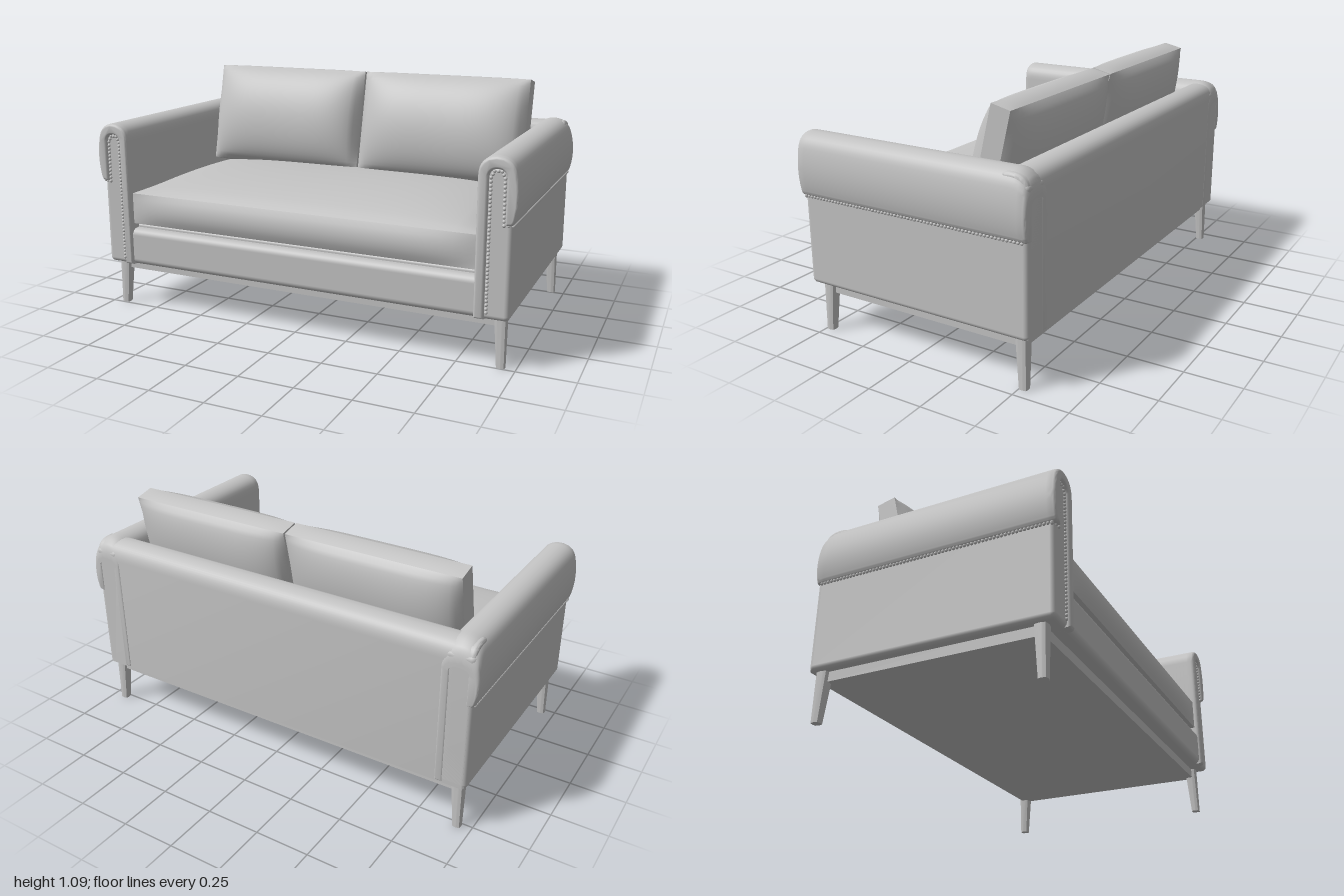
import * as THREE from 'three';
import { mergeGeometries, toCreasedNormals } from 'three/addons/utils/BufferGeometryUtils.js';
import { RoundedBoxGeometry } from 'three/addons/geometries/RoundedBoxGeometry.js';

const fabric = new THREE.MeshStandardMaterial({ color: 0xc4c4c4 });
fabric.name = 'light grey';

function add(parent, name, geometry, x = 0, y = 0, z = 0) {
  const mesh = new THREE.Mesh(geometry, fabric);
  mesh.name = name;
  mesh.position.set(x, y, z);
  parent.add(mesh);
  return mesh;
}

// Rounded block given by its limits on each axis
function block(parent, name, [x0, x1], [y0, y1], [z0, z1], r) {
  const g = new RoundedBoxGeometry(x1 - x0, y1 - y0, z1 - z0, 4, r);
  return add(parent, name, g, (x0 + x1) / 2, (y0 + y1) / 2, (z0 + z1) / 2);
}

function moveVertices(g, rule) {
  const p = g.attributes.position, v = new THREE.Vector3();
  for (let i = 0; i < p.count; i++) {
    rule(v.fromBufferAttribute(p, i));
    p.setXYZ(i, v.x, v.y, v.z);
  }
  return g;
}

// Boxed cushion lying in the xy plane, with puffed faces and a sharp seam
function cushionGeometry(w, h, t, puffFront, puffBack, edgePuff) {
  const g = new THREE.BoxGeometry(w, h, t, 36, 28, 6);
  moveVertices(g, (v) => {
    const a = Math.min(1, Math.abs(2 * v.x / w)), b = Math.min(1, Math.abs(2 * v.y / h));
    const c = 2 * v.z / t;
    const puff = Math.pow((1 - a ** 4) * (1 - b * b), 0.6);
    v.y += Math.sign(v.y) * edgePuff * b ** 6 * (1 - c * c) * (1 - a ** 8);
    v.z += c > 0 ? c * puffFront * puff : c * puffBack * puff;
  });
  g.computeVertexNormals();
  return g;
}

// Padded arm cover: hooks over the arm, short flap outside, long inside
function armCoverGeometry(s) {
  const shape = new THREE.Shape();
  const q = (cx, cy, x, y) => shape.quadraticCurveTo(s * cx, cy, s * x, y);
  const l = (x, y) => shape.lineTo(s * x, y);
  shape.moveTo(s * 0.83, 0.222);
  l(0.83, 0.81);
  q(0.83, 0.885, 0.905, 0.892);
  q(0.972, 0.892, 0.987, 0.83);
  q(1.008, 0.74, 0.989, 0.65);
  q(0.984, 0.62, 0.966, 0.62);
  l(0.945, 0.62);
  l(0.945, 0.8);
  q(0.945, 0.84, 0.91, 0.84);
  q(0.875, 0.84, 0.875, 0.8);
  l(0.875, 0.222);
  shape.closePath();
  const g = new THREE.ExtrudeGeometry(shape, {
    depth: 1.08, steps: 54, curveSegments: 8,
    bevelSize: 0.012, bevelOffset: -0.012, bevelThickness: 0.02, bevelSegments: 4,
  });
  g.translate(0, 0, -0.54);
  // Round the upper rear corner
  moveVertices(g, (v) => {
    if (v.z < -0.48 && v.y > 0.62) {
      const top = 0.81 + Math.sqrt(Math.max(0, 0.0064 - (v.z + 0.48) ** 2));
      v.y = 0.62 + (v.y - 0.62) * (top - 0.62) / 0.27;
    }
  });
  return toCreasedNormals(g, 0.65);
}

// Row of nail heads through the given corner points
function nailGeometry(points) {
  const heads = [];
  for (let i = 0; i + 1 < points.length; i++) {
    const a = new THREE.Vector3(...points[i]), b = new THREE.Vector3(...points[i + 1]);
    const n = Math.max(1, Math.round(a.distanceTo(b) / 0.0165));
    for (let k = 0; k < n; k++) {
      const p = a.clone().lerp(b, k / n);
      heads.push(new THREE.SphereGeometry(0.0075, 8, 6).translate(p.x, p.y, p.z));
    }
  }
  return mergeGeometries(heads);
}

// Squarish tapered leg with its outer faces upright
function legGeometry(sx, sz) {
  const g = new THREE.CylinderGeometry(0.028, 0.019, 0.225, 24, 1);
  moveVertices(g, (v) => {
    const r = Math.hypot(v.x, v.z);
    if (r > 0.001) {
      const f = Math.pow(r / Math.max(Math.abs(v.x), Math.abs(v.z)), 0.5);
      v.x *= f;
      v.z *= f;
    }
    if (v.y < 0) {
      v.x += sx * 0.009;
      v.z += sz * 0.009;
    }
  });
  return toCreasedNormals(g, 0.6);
}

export function createModel() {
  const sofa = new THREE.Group();
  sofa.name = 'sofa';

  // Frame
  add(sofa, 'basePlinth', new THREE.BoxGeometry(1.87, 0.06, 1.0), 0, 0.207, -0.02);
  block(sofa, 'seatDeck', [-0.86, 0.86], [0.221, 0.41], [-0.5, 0.5], 0.01);
  block(sofa, 'frontRail', [-0.875, 0.875], [0.22, 0.395], [0.38, 0.546], 0.03);

  // Backrest with rounded top
  const back = new THREE.Shape();
  back.moveTo(0.42, 0.222);
  back.lineTo(0.42, 0.83);
  back.quadraticCurveTo(0.42, 0.88, 0.47, 0.882);
  back.quadraticCurveTo(0.557, 0.885, 0.557, 0.8);
  back.lineTo(0.557, 0.222);
  back.closePath();
  const backGeometry = new THREE.ExtrudeGeometry(back, {
    depth: 1.91, curveSegments: 12,
    bevelSize: 0.015, bevelOffset: -0.015, bevelThickness: 0.015, bevelSegments: 4,
  });
  backGeometry.translate(0, 0, -0.955).rotateY(Math.PI / 2);
  // The profile's depth axis now runs along -z
  add(sofa, 'backrest', toCreasedNormals(backGeometry, 0.65));

  // Arms
  for (const s of [1, -1]) {
    const arm = new THREE.Group();
    arm.name = s > 0 ? 'leftArm' : 'rightArm';
    sofa.add(arm);
    const xs = [s * 0.845, s * 0.976].sort((a, b) => a - b);
    block(arm, 'armBody', xs, [0.22, 0.845], [-0.557, 0.545], 0.022);
    add(arm, 'armCover', armCoverGeometry(s));
    add(arm, 'sideNails', nailGeometry([[s * 0.977, 0.621, 0.535], [s * 0.977, 0.621, -0.55]]));
    const z = 0.546;
    add(arm, 'frontNails', nailGeometry([
      [s * 0.976, 0.618, 0.535], [s * 0.94, 0.618, z], [s * 0.938, 0.805, z], [s * 0.925, 0.832, z],
      [s * 0.895, 0.832, z], [s * 0.882, 0.805, z], [s * 0.882, 0.235, z],
    ]));
  }

  // Cushions
  const seat = add(sofa, 'seatCushion', cushionGeometry(1.655, 0.95, 0.145, 0.068, 0.03, 0.02), 0, 0.494, 0.06);
  seat.rotation.x = -Math.PI / 2;
  for (const s of [1, -1]) {
    const name = s > 0 ? 'leftBackCushion' : 'rightBackCushion';
    const cushion = add(sofa, name, cushionGeometry(0.824, 0.495, 0.09, 0.11, 0.08, 0.006), s * 0.416, 0.838, -0.293);
    cushion.rotation.x = -0.23;
  }

  // Legs
  for (const sx of [1, -1]) {
    for (const sz of [1, -1]) {
      const name = (sz > 0 ? 'front' : 'back') + (sx > 0 ? 'LeftLeg' : 'RightLeg');
      add(sofa, name, legGeometry(sx, sz), sx * 0.927, 0.1125, sz > 0 ? 0.47 : -0.508);
    }
  }
  return sofa;
}
